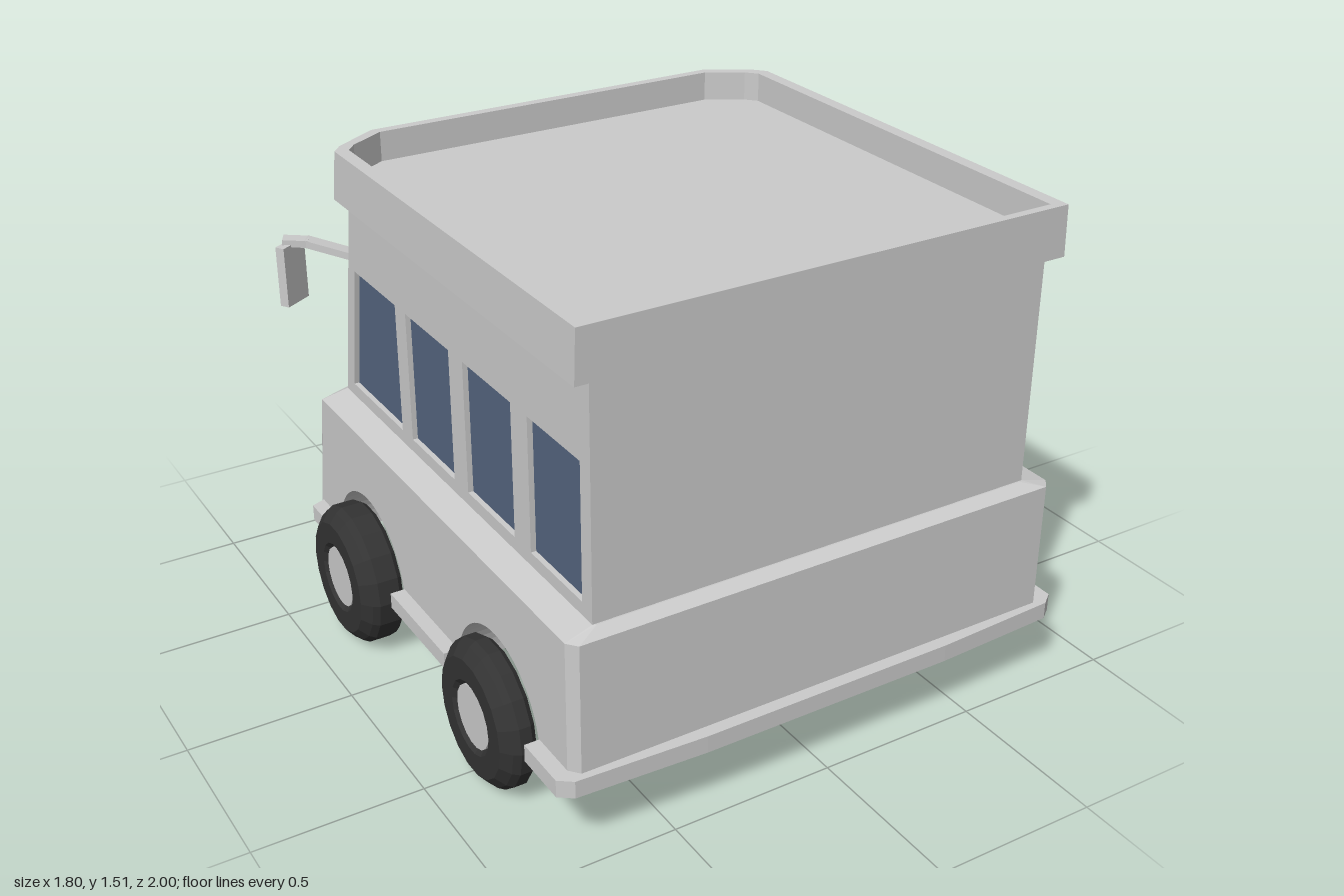
import * as THREE from 'three';

const grey = new THREE.MeshStandardMaterial({ color: 0xcccccc, flatShading: true });
const glass = new THREE.MeshStandardMaterial({ color: 0x55657f, flatShading: true });
const rubber = new THREE.MeshStandardMaterial({ color: 0x333333, flatShading: true });

// Stacks outlines [y, [[x, z], ...]]; each is a right half, back to nose, mirrored in x.
function loft(levels) {
  const rings = levels.map(([y, half]) => [
    ...half.map(([x, z]) => [x, y, z]),
    ...half.slice().reverse().map(([x, z]) => [-x, y, z]),
  ]);
  const n = rings[0].length;
  const index = [];
  for (let k = 0; k < rings.length - 1; k++) {
    for (let i = 0; i < n; i++) {
      const a = k * n + i, b = k * n + ((i + 1) % n);
      index.push(a, b, b + n, a, b + n, a + n);
    }
  }
  const cap = (k, flip) => {
    const contour = rings[k].map(([x, , z]) => new THREE.Vector2(x, -z));
    for (const [a, b, c] of THREE.ShapeUtils.triangulateShape(contour, [])) {
      index.push(k * n + a, k * n + (flip ? c : b), k * n + (flip ? b : c));
    }
  };
  cap(0, true);
  cap(rings.length - 1, false);
  const g = new THREE.BufferGeometry();
  g.setAttribute('position', new THREE.Float32BufferAttribute(rings.flat(2), 3));
  g.setIndex(index);
  const flat = g.toNonIndexed();
  flat.computeVertexNormals();
  return flat;
}

// Shape points are (-z, y); the result spans x0..x1.
function sideExtrude(shape, x0, x1) {
  const g = new THREE.ExtrudeGeometry(shape, { depth: x1 - x0, bevelEnabled: false, curveSegments: 14 });
  return g.rotateY(Math.PI / 2).translate(x0, 0, 0);
}
const polygon = (points) => new THREE.Shape(points.map(([z, y]) => new THREE.Vector2(-z, y)));
const bothSides = (shape, x0, x1) => [sideExtrude(shape, x0, x1), sideExtrude(shape, -x1, -x0)];

// Sloping front: centre plane and cabin side edge
const frontZ = (y) => -0.69 + (y - 0.68) * 0.176;
const sideZ = (y) => -0.61 + (y - 0.68) * 0.19;

export function createModel() {
  const model = new THREE.Group();
  const add = (name, geometry, material = grey, parent = model) => {
    const mesh = new THREE.Mesh(geometry, material);
    mesh.name = name;
    parent.add(mesh);
    return mesh;
  };

  // Lower body core with the nose
  const core = (y, sz, ...nose) => [y, [[0.76, 0.96], [0.785, 0.93], [0.55, 0.93], [0.55, -0.6], [0.785, sz], ...nose]];
  add('lowerBody', loft([
    core(0.22, -0.7, [0.68, -0.71], [0.6, -0.75], [0.41, -0.97]),
    core(0.43, -0.66, [0.67, -0.705], [0.6, -0.745], [0.4, -0.97]),
    core(0.66, -0.615, [0.63, -0.68], [0.565, -0.695], [0.39, -0.88]),
  ]));

  // Lower sides with wheel arches
  const side = new THREE.Shape();
  side.moveTo(-0.93, 0.22);
  for (const a of [-0.54, 0.3]) {
    side.lineTo(a - 0.24, 0.22);
    side.absarc(a, 0.22, 0.24, Math.PI, 0, true);
  }
  side.lineTo(0.7, 0.22);
  side.lineTo(0.615, 0.66);
  side.lineTo(-0.93, 0.66);
  bothSides(side, 0.55, 0.785).forEach((g) => add('wheelArchSide', g));

  // Sloping ledge and bonnet top
  add('ledge', loft([
    [0.66, [[0.76, 0.96], [0.785, 0.93], [0.785, -0.615], [0.63, -0.68], [0.565, -0.695], [0.39, -0.88]]],
    [0.68, [[0.69, 0.925], [0.7, 0.92], [0.7, -0.61], [0.61, -0.67], [0.56, -0.69], [0.39, -0.87]]],
  ]));

  // Cabin with slanted corner pillars, recessed where the glass sits
  const cabin = (y) => {
    const s = sideZ(y), f = frontZ(y);
    return [y, [[0.68, 0.92], [0.68, s + 0.02], [0.7, s + 0.02], [0.7, s], [0.585, f], [0.56, f], [0.56, f + 0.03]]];
  };
  add('cabin', loft([cabin(0.67), cabin(1.37)]));

  // Side walls with window openings and panes
  const wall = polygon([[0.92, 0.67], [sideZ(0.67), 0.67], [sideZ(1.37), 1.37], [0.92, 1.37]]);
  const windows = [
    [0.87, 0.6, 0.6], [0.51, 0.235, 0.235], [0.15, -0.125, -0.125], [-0.195, -0.55, -0.48],
  ].map(([z0, low, high]) => [[z0, 0.72], [low, 0.72], [high, 1.12], [z0, 1.12]]);
  for (const w of windows) {
    wall.holes.push(polygon(w));
    bothSides(polygon(w), 0.67, 0.684).forEach((g) => add('sideWindow', g, glass));
  }
  bothSides(wall, 0.68, 0.7).forEach((g) => add('cabinSide', g));

  // Windscreen between sill and header, with a visor
  const slab = (y0, y1, front, back) => loft([y0, y1].map((y) => [y, [[0.56, frontZ(y) + back], [0.56, frontZ(y) + front]]]));
  add('windscreenSill', slab(0.67, 0.74, 0, 0.04));
  add('windscreenHeader', slab(1.12, 1.37, 0, 0.04));
  add('windscreen', slab(0.74, 1.12, 0.022, 0.04), glass);
  add('visor', new THREE.BoxGeometry(1.12, 0.03, 0.07).translate(0, 1.135, -0.63));

  // Roof with a raised rim and sunken top
  const roof = (y, x, back, sz, fx, fz) => [y, [[x, back], [x, sz], [x - 0.03, sz - 0.035], [fx, fz]]];
  add('roof', loft([
    roof(1.36, 0.75, 0.94, -0.47, 0.59, -0.59),
    roof(1.51, 0.745, 0.94, -0.45, 0.58, -0.57),
    roof(1.51, 0.705, 0.915, -0.44, 0.565, -0.54),
    roof(1.42, 0.705, 0.915, -0.44, 0.565, -0.54),
  ]));

  // Bumper strip, broken at the wheels
  const strip = (half) => loft([[0.217, half], [0.27, half]]);
  add('noseBumper', strip([[0.78, -0.54], [0.83, -0.54], [0.83, -0.66], [0.69, -0.72], [0.61, -0.77], [0.42, -1]]));
  add('tailBumper', strip([[0.4, 0.998], [0.79, 0.98], [0.83, 0.95], [0.83, 0.78], [0.78, 0.78]]));
  for (const s of [1, -1]) {
    add('sideStrip', new THREE.BoxGeometry(0.06, 0.05, 0.36).translate(s * 0.8, 0.245, 0.12));
  }

  // Wheels: tyre and hub
  for (const s of [1, -1]) {
    for (const [z, w] of [[0.54, 0.095], [-0.3, 0.125]]) {
      const wheel = new THREE.Group();
      wheel.name = 'wheel';
      wheel.position.set(s * 0.775, 0.218, z);
      wheel.rotation.z = -s * Math.PI / 2;
      model.add(wheel);
      const profile = [
        [0, 0], [0.205, 0], [0.217, 0.015], [0.217, w - 0.045], [0.205, w - 0.025],
        [0.175, w], [0.11, w], [0.095, w - 0.015], [0, w - 0.015],
      ].map(([r, h]) => new THREE.Vector2(r, h));
      add('tyre', new THREE.LatheGeometry(profile, 18), rubber, wheel);
      add('hub', new THREE.CylinderGeometry(0.094, 0.094, w, 18).translate(0, w / 2 - 0.008, 0), grey, wheel);
    }
  }

  // Wing mirrors on bent arms
  for (const s of [1, -1]) {
    const path = [[0.63, 1.12, -0.56], [0.77, 1.165, -0.665], [0.83, 1.17, -0.695]]
      .map(([x, y, z]) => new THREE.Vector3(s * x, y, z));
    for (let i = 0; i < 2; i++) {
      const arm = add('mirrorArm', new THREE.BoxGeometry(0.045, 0.022, path[i].distanceTo(path[i + 1]) + 0.01));
      arm.position.copy(path[i]).lerp(path[i + 1], 0.5);
      arm.lookAt(path[i + 1]);
    }
    const housing = add('mirror', new THREE.BoxGeometry(0.1, 0.19, 0.03));
    housing.position.set(s * 0.818, 1.07, -0.685);
    housing.rotation.y = -s * 0.55;
  }
  return model;
}
